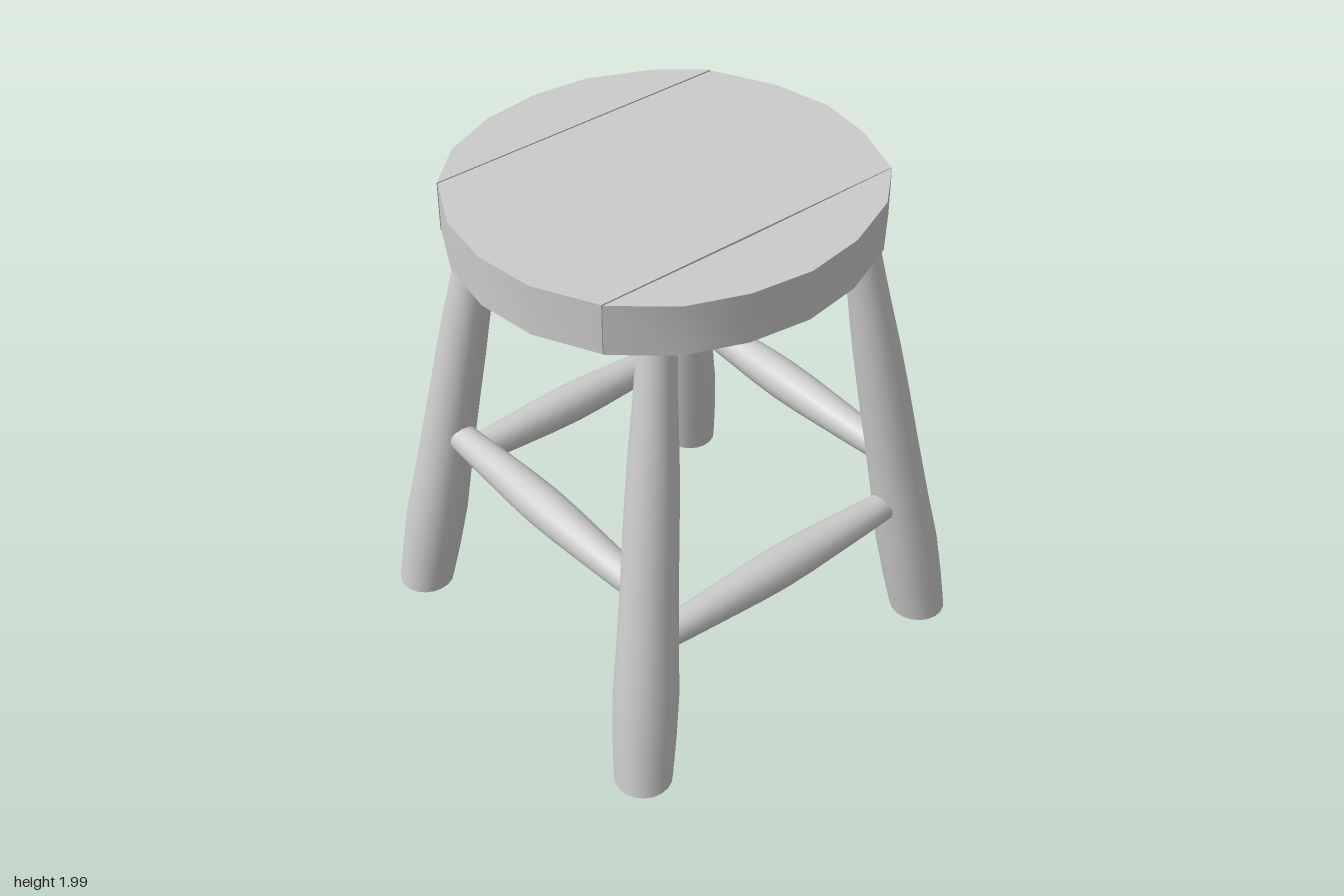
import * as THREE from 'three';
import { toCreasedNormals } from 'three/addons/utils/BufferGeometryUtils.js';

const material = new THREE.MeshStandardMaterial({ color: 0xcccccc });
const CREASE = 0.6;

function addMesh(group, geometry, name) {
  const mesh = new THREE.Mesh(toCreasedNormals(geometry, CREASE), material);
  mesh.name = name;
  group.add(mesh);
  return mesh;
}

// Closed turned shape from [radius, height] pairs
function turned(profile, sides) {
  const last = profile.length - 1;
  const pts = [[0, profile[0][1]], ...profile, [0, profile[last][1]]];
  return new THREE.LatheGeometry(pts.map(([r, y]) => new THREE.Vector2(r, y)), sides);
}

// Plank from an outline of [x, z] corners
function plank(outline) {
  const shape = new THREE.Shape(outline.map(([x, z]) => new THREE.Vector2(x, -z)));
  const geometry = new THREE.ExtrudeGeometry(shape, { depth: 0.195, bevelEnabled: false });
  return geometry.rotateX(-Math.PI / 2).translate(0, 1.8, 0);
}

// Leg with level ends, leaning from foot to top
const FOOT_Y = 0.01, TOP_Y = 1.82;
function legPoint(leg, y) {
  const t = (y - FOOT_Y) / (TOP_Y - FOOT_Y);
  return new THREE.Vector3(
    THREE.MathUtils.lerp(leg.foot[0], leg.top[0], t), y,
    THREE.MathUtils.lerp(leg.foot[1], leg.top[1], t));
}

function legGeometry(leg) {
  const geometry = turned([
    [0.11, FOOT_Y], [0.118, 0.18], [0.122, 0.38], [0.112, 0.6],
    [0.103, 0.9], [0.097, 1.15], [0.09, 1.34], [0.078, 1.55], [0.066, TOP_Y],
  ], 20);
  const pos = geometry.attributes.position;
  for (let i = 0; i < pos.count; i++) {
    const c = legPoint(leg, pos.getY(i));
    pos.setX(i, pos.getX(i) + c.x);
    pos.setZ(i, pos.getZ(i) + c.z);
  }
  return geometry;
}

export function createModel() {
  const stool = new THREE.Group();
  stool.name = 'stool';

  // Seat of three planks with hairline seams
  const seat = new THREE.Group();
  seat.name = 'seat';
  stool.add(seat);
  addMesh(seat, plank([
    [-0.505, -0.6], [-0.27, -0.72], [-0.03, -0.77], [0.2, -0.74], [0.44, -0.65],
    [0.482, 0.66], [0.25, 0.78], [0.01, 0.815], [-0.23, 0.78], [-0.462, 0.67],
  ]), 'middlePlank');
  addMesh(seat, plank([
    [0.443, -0.65], [0.6, -0.48], [0.71, -0.24], [0.755, 0], [0.73, 0.24],
    [0.65, 0.46], [0.488, 0.66], [0.472, 0.05],
  ]), 'leftPlank');
  addMesh(seat, plank([
    [-0.513, -0.6], [-0.468, 0.67], [-0.63, 0.5], [-0.73, 0.28], [-0.77, 0.04],
    [-0.75, -0.19], [-0.65, -0.43],
  ]), 'rightPlank');

  // Splayed legs
  const legs = {
    frontLeft: { foot: [0.735, 0.705], top: [0.51, 0.455] },
    frontRight: { foot: [-0.69, 0.745], top: [-0.5, 0.465] },
    backLeft: { foot: [0.69, -0.745], top: [0.5, -0.455] },
    backRight: { foot: [-0.745, -0.7], top: [-0.51, -0.445] },
  };
  for (const [name, leg] of Object.entries(legs)) {
    addMesh(stool, legGeometry(leg), name + 'Leg');
  }

  // Tapered stretchers: front and back high, sides low
  const stretchers = [
    ['front', 'frontRight', 'frontLeft', 0.795],
    ['back', 'backRight', 'backLeft', 0.795],
    ['left', 'backLeft', 'frontLeft', 0.59],
    ['right', 'backRight', 'frontRight', 0.59],
  ];
  for (const [name, from, to, y] of stretchers) {
    const a = legPoint(legs[from], y), b = legPoint(legs[to], y);
    const h = a.distanceTo(b) / 2 - 0.05;
    const mesh = addMesh(stool, turned([
      [0.054, -h], [0.064, -h * 0.7], [0.078, -h * 0.22], [0.081, 0],
      [0.078, h * 0.22], [0.064, h * 0.7], [0.054, h],
    ], 16), name + 'Stretcher');
    mesh.position.copy(a).add(b).multiplyScalar(0.5);
    mesh.quaternion.setFromUnitVectors(new THREE.Vector3(0, 1, 0), b.sub(a).normalize());
  }
  return stool;
}
